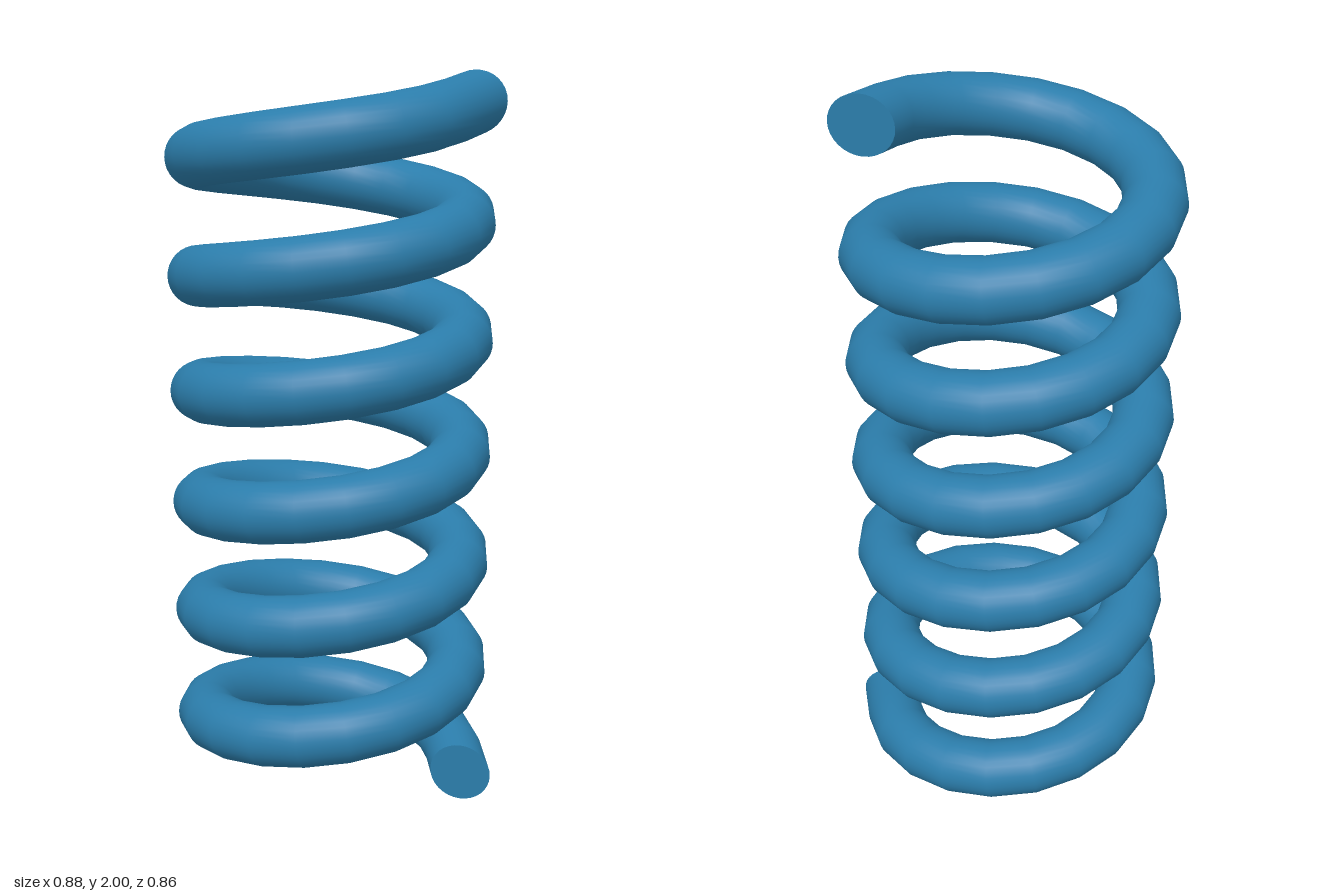
import * as THREE from 'three';

const COIL_RADIUS = 0.35, WIRE_RADIUS = 0.08, PITCH = 0.306;
const TURNS = 6, STEPS = 20, SIDES = 32, START_Y = 0.082, OFFSET_X = -0.011;

// One ring of wire points and normals, square to the helix
function wireRing(i) {
  const last = TURNS * STEPS;
  const k = Math.min(Math.max(i, 1), last - 1);
  const a = (k / STEPS) * Math.PI * 2;
  const slope = PITCH / (Math.PI * 2 * COIL_RADIUS);
  const outward = new THREE.Vector3(Math.cos(a), 0, -Math.sin(a));
  const along = new THREE.Vector3(-Math.sin(a), slope, -Math.cos(a)).normalize();
  const up = new THREE.Vector3().crossVectors(along, outward).negate();
  const center = outward.clone().multiplyScalar(COIL_RADIUS);
  center.y = START_Y + (PITCH * k) / STEPS;

  const ring = [];
  for (let j = 0; j <= SIDES; j++) {
    const t = (j / SIDES) * Math.PI * 2;
    const normal = outward.clone().multiplyScalar(Math.cos(t)).addScaledVector(up, Math.sin(t));
    const point = center.clone().addScaledVector(normal, WIRE_RADIUS);
    // The end sections run straight on and are cut off at z = 0
    if (k !== i) point.addScaledVector(along, -point.z / along.z);
    point.x += OFFSET_X;
    ring.push({ point, normal });
  }
  return ring;
}

function makeGeometry(positions, normals, index) {
  const g = new THREE.BufferGeometry();
  g.setAttribute('position', new THREE.Float32BufferAttribute(positions, 3));
  g.setAttribute('normal', new THREE.Float32BufferAttribute(normals, 3));
  g.setIndex(index);
  return g;
}

// Smooth wire skin joining all rings
function coilGeometry(rings) {
  const positions = [], normals = [], index = [];
  const row = SIDES + 1;
  rings.forEach((ring, i) => {
    ring.forEach(({ point, normal }, j) => {
      positions.push(...point.toArray());
      normals.push(...normal.toArray());
      if (i === rings.length - 1 || j === SIDES) return;
      const p = i * row + j, q = p + row;
      index.push(p, q, p + 1, q, q + 1, p + 1);
    });
  });
  return makeGeometry(positions, normals, index);
}

// Flat cut end, facing +z or -z
function capGeometry(ring, facing) {
  const positions = [], normals = [], index = [];
  ring.forEach(({ point }, j) => {
    positions.push(...point.toArray());
    normals.push(0, 0, facing);
    if (j > 0 && j < SIDES - 1) index.push(0, ...(facing > 0 ? [j, j + 1] : [j + 1, j]));
  });
  return makeGeometry(positions, normals, index);
}

export function createModel() {
  const group = new THREE.Group();
  group.name = 'coilSpring';
  const material = new THREE.MeshStandardMaterial({ color: 0x2b7dab });

  const rings = [];
  for (let i = 0; i <= TURNS * STEPS; i++) rings.push(wireRing(i));

  const add = (name, geometry) => {
    const mesh = new THREE.Mesh(geometry, material);
    mesh.name = name;
    group.add(mesh);
  };
  add('coil', coilGeometry(rings));
  add('bottomEnd', capGeometry(rings[0], 1));
  add('topEnd', capGeometry(rings[rings.length - 1], -1));
  return group;
}
